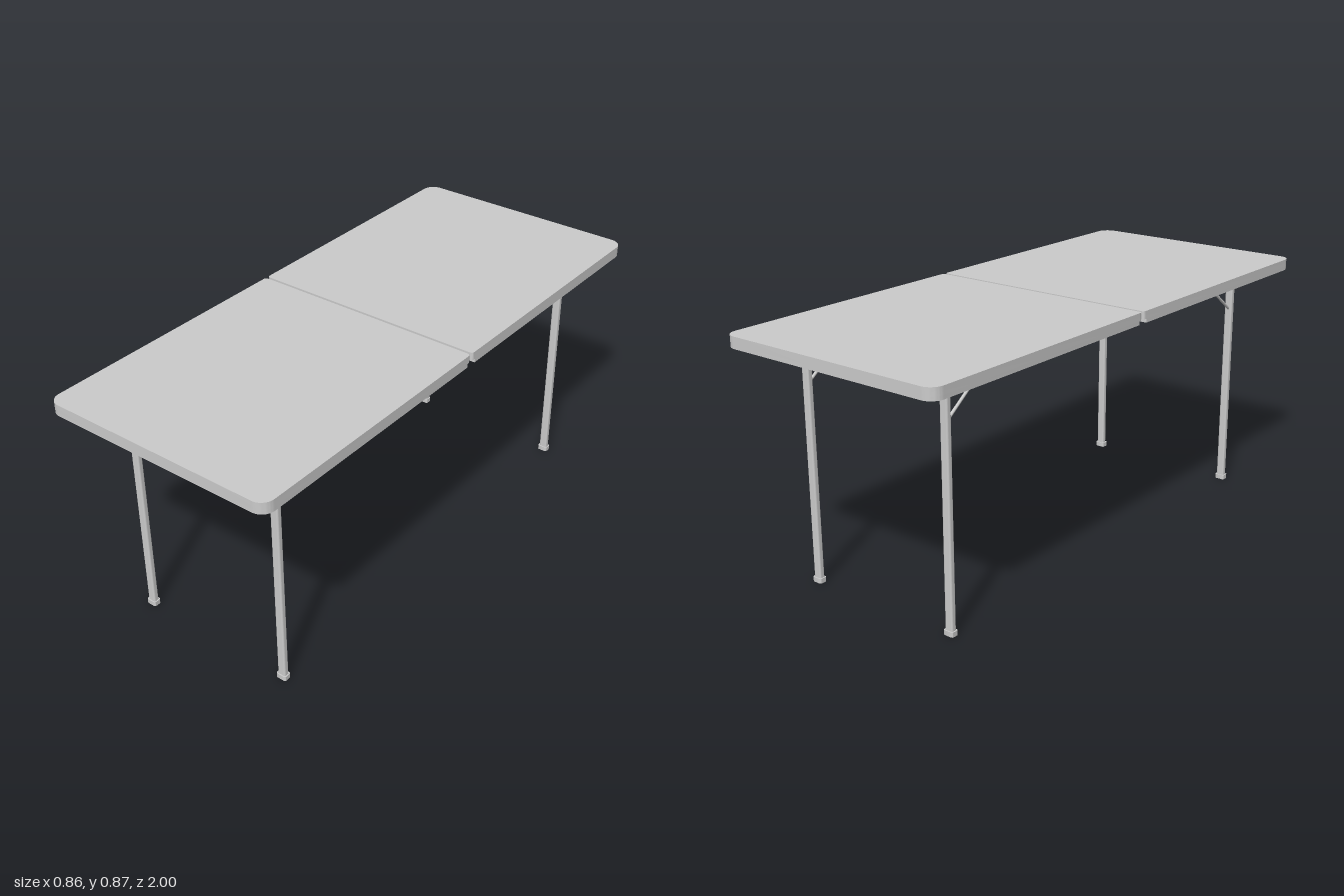
import * as THREE from 'three';
import { toCreasedNormals } from 'three/addons/utils/BufferGeometryUtils.js';

const material = new THREE.MeshStandardMaterial({ color: 0xcccccc });

function addMesh(parent, name, geometry, x = 0, y = 0, z = 0) {
  const mesh = new THREE.Mesh(geometry, material);
  mesh.name = name;
  mesh.position.set(x, y, z);
  parent.add(mesh);
  return mesh;
}

// Upright prism with a rounded rectangle footprint: x from -w to w,
// z from -v1 to -v0, corner radius r0 at v0 and r1 at v1.
function slab(w, v0, v1, r0, r1, height) {
  const s = new THREE.Shape();
  s.moveTo(-w + r0, v0);
  s.lineTo(w - r0, v0);
  s.absarc(w - r0, v0 + r0, r0, -Math.PI / 2, 0, false);
  s.lineTo(w, v1 - r1);
  s.absarc(w - r1, v1 - r1, r1, 0, Math.PI / 2, false);
  s.lineTo(-w + r1, v1);
  s.absarc(-w + r1, v1 - r1, r1, Math.PI / 2, Math.PI, false);
  s.lineTo(-w, v0 + r0);
  s.absarc(-w + r0, v0 + r0, r0, Math.PI, Math.PI * 1.5, false);
  const g = new THREE.ExtrudeGeometry(s, { depth: height, bevelEnabled: false, curveSegments: 8 });
  g.rotateX(-Math.PI / 2);
  return toCreasedNormals(g, 0.6);
}

// Round bar between two points
function bar(parent, name, a, b, radius) {
  const dir = b.clone().sub(a);
  const mesh = addMesh(parent, name, new THREE.CylinderGeometry(radius, radius, dir.length(), 12));
  mesh.position.copy(a).add(b).multiplyScalar(0.5);
  mesh.quaternion.setFromUnitVectors(new THREE.Vector3(0, 1, 0), dir.normalize());
}

// One half of the table, extending towards -z
function buildHalf(name) {
  const half = new THREE.Group();
  half.name = name;

  // Top panel, with its lower inner edge stepped back for the hinge groove
  addMesh(half, 'panelUpper', slab(0.43, 0.005, 1, 0.01, 0.045, 0.027), 0, 0.843, 0);
  addMesh(half, 'panelLower', slab(0.43, 0.019, 1, 0.002, 0.045, 0.013), 0, 0.83, 0);

  // Legs with feet and folding braces
  for (const x of [-0.29, 0.29]) {
    addMesh(half, 'leg', slab(0.015, -0.01, 0.01, 0.006, 0.006, 0.82), x, 0.01, -0.8);
    addMesh(half, 'foot', slab(0.019, -0.014, 0.014, 0.007, 0.007, 0.017), x, 0, -0.8);
    bar(half, 'brace', new THREE.Vector3(x, 0.69, -0.797), new THREE.Vector3(x, 0.835, -0.603), 0.005);
  }

  // Rail between the legs
  bar(half, 'crossRail', new THREE.Vector3(-0.28, 0.774, -0.8), new THREE.Vector3(0.28, 0.774, -0.8), 0.006);
  return half;
}

export function createModel() {
  const table = new THREE.Group();
  table.name = 'foldingTable';

  const back = buildHalf('backHalf');
  const front = buildHalf('frontHalf');
  front.rotation.y = Math.PI;
  table.add(back, front);

  // Domed hinge strip bridging the gap between the panels
  const dome = new THREE.Shape();
  dome.absarc(0, 0, 0.02, 0, Math.PI, false);
  dome.closePath();
  const hinge = new THREE.ExtrudeGeometry(dome, { depth: 0.84, bevelEnabled: false, curveSegments: 12 });
  hinge.translate(0, 0, -0.42);
  hinge.rotateY(Math.PI / 2);
  addMesh(table, 'hingeStrip', toCreasedNormals(hinge, 0.6), 0, 0.8425, 0);

  return table;
}
